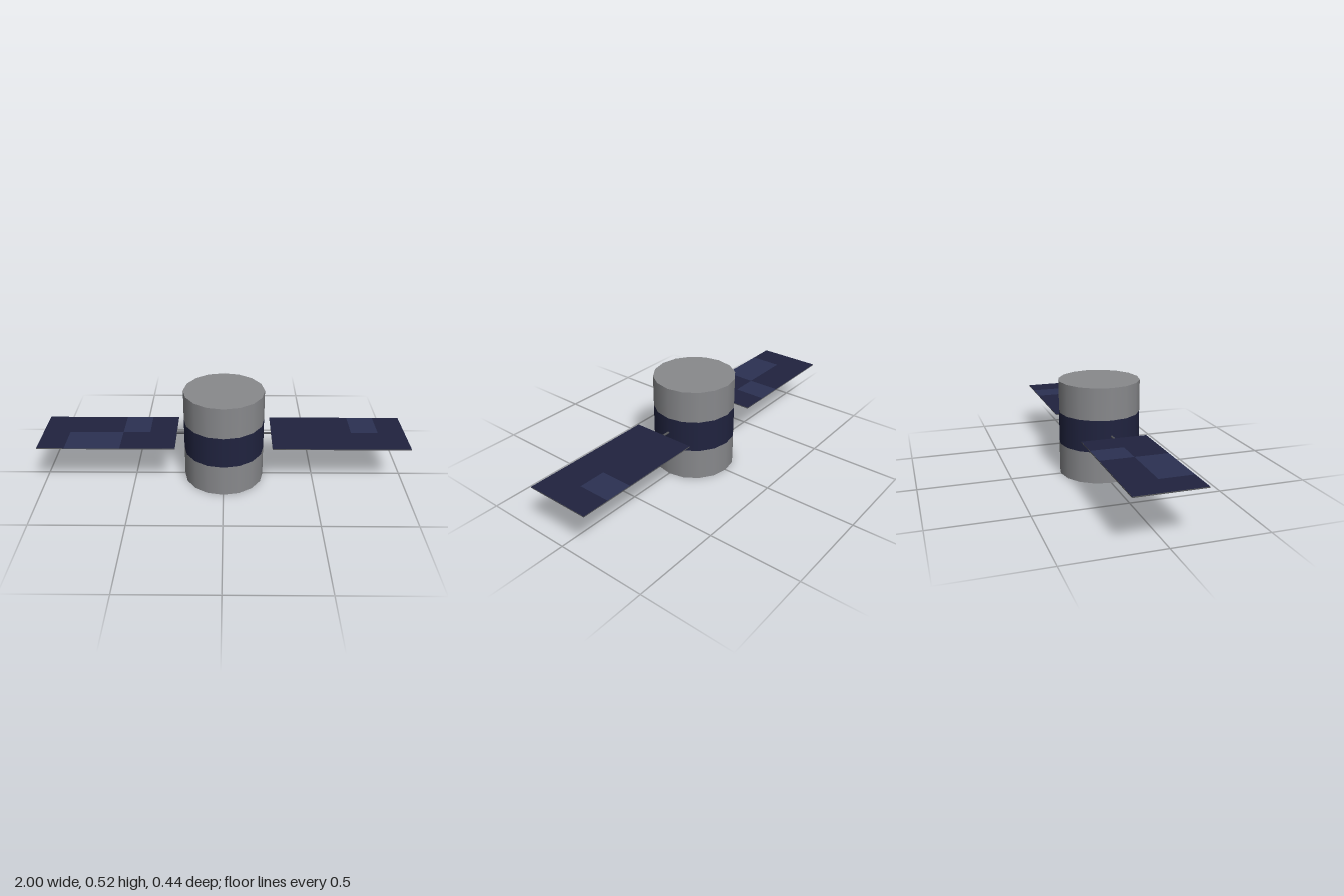
import * as THREE from 'three';

const RADIUS = 0.222, HEIGHT = 0.523, SIDES = 16;
const INNER = 0.262, OUTER = 1, HALF_DEPTH = 0.178, THICK = 0.005;
const COLUMNS = 5;

const paint = (color) => new THREE.MeshStandardMaterial({ color });
const bodyGrey = paint(0x88898c);
const bandBlue = paint(0x20233f);
const cellBlue = paint(0x20233f);
const paleCell = paint(0x2b3152);
const metal = paint(0x55565a);

function add(parent, name, geometry, material, x = 0, y = 0, z = 0) {
  const mesh = new THREE.Mesh(geometry, material);
  mesh.name = name;
  mesh.position.set(x, y, z);
  parent.add(mesh);
  return mesh;
}

// Wing on one side; paleCells lists [column from the body, row from the back]
function makeWing(side, paleCells) {
  const wing = new THREE.Group();
  wing.name = side > 0 ? 'leftSolarWing' : 'rightSolarWing';
  wing.position.y = HEIGHT / 2;

  // Thin strut from the body to the panel
  const strut = add(wing, 'strut', new THREE.CylinderGeometry(0.006, 0.006, INNER - 0.2, 8),
    metal, side * (INNER + 0.2) / 2);
  strut.rotation.z = Math.PI / 2;

  // Panel core, whose edge shows as the rim
  const length = OUTER - INNER;
  add(wing, 'panelCore', new THREE.BoxGeometry(length, THICK, HALF_DEPTH * 2),
    metal, side * (INNER + OUTER) / 2);

  // Solar cells on both faces; the underside repeats the pattern turned over
  const width = length / COLUMNS;
  for (const face of [1, -1]) {
    for (let column = 0; column < COLUMNS; column++) {
      for (let row = 0; row < 2; row++) {
        const pale = paleCells.some(([c, r]) => c === column && r === row);
        const cell = add(wing, 'solarCell', new THREE.PlaneGeometry(width, HALF_DEPTH),
          pale ? paleCell : cellBlue,
          side * (INNER + (column + 0.5) * width),
          face * (THICK / 2 + 0.0006),
          face * (row - 0.5) * HALF_DEPTH);
        cell.rotation.x = -face * Math.PI / 2;
      }
    }
  }
  return wing;
}

export function createModel() {
  const model = new THREE.Group();
  model.name = 'satellite';

  // Body: three equal rings, the middle one blue
  const third = HEIGHT / 3;
  ['lowerBody', 'middleBand', 'upperBody'].forEach((name, i) => {
    add(model, name, new THREE.CylinderGeometry(RADIUS, RADIUS, third, SIDES, 1, true),
      i === 1 ? bandBlue : bodyGrey, 0, (i + 0.5) * third);
  });

  // Flat end lids
  for (const end of [1, -1]) {
    const lid = add(model, end > 0 ? 'topLid' : 'bottomLid',
      new THREE.CircleGeometry(RADIUS, SIDES), bodyGrey, 0, end > 0 ? HEIGHT : 0);
    lid.rotation.x = -end * Math.PI / 2;
  }

  model.add(makeWing(1, [[3, 0]]));
  model.add(makeWing(-1, [[1, 0], [2, 1], [3, 1]]));
  return model;
}
